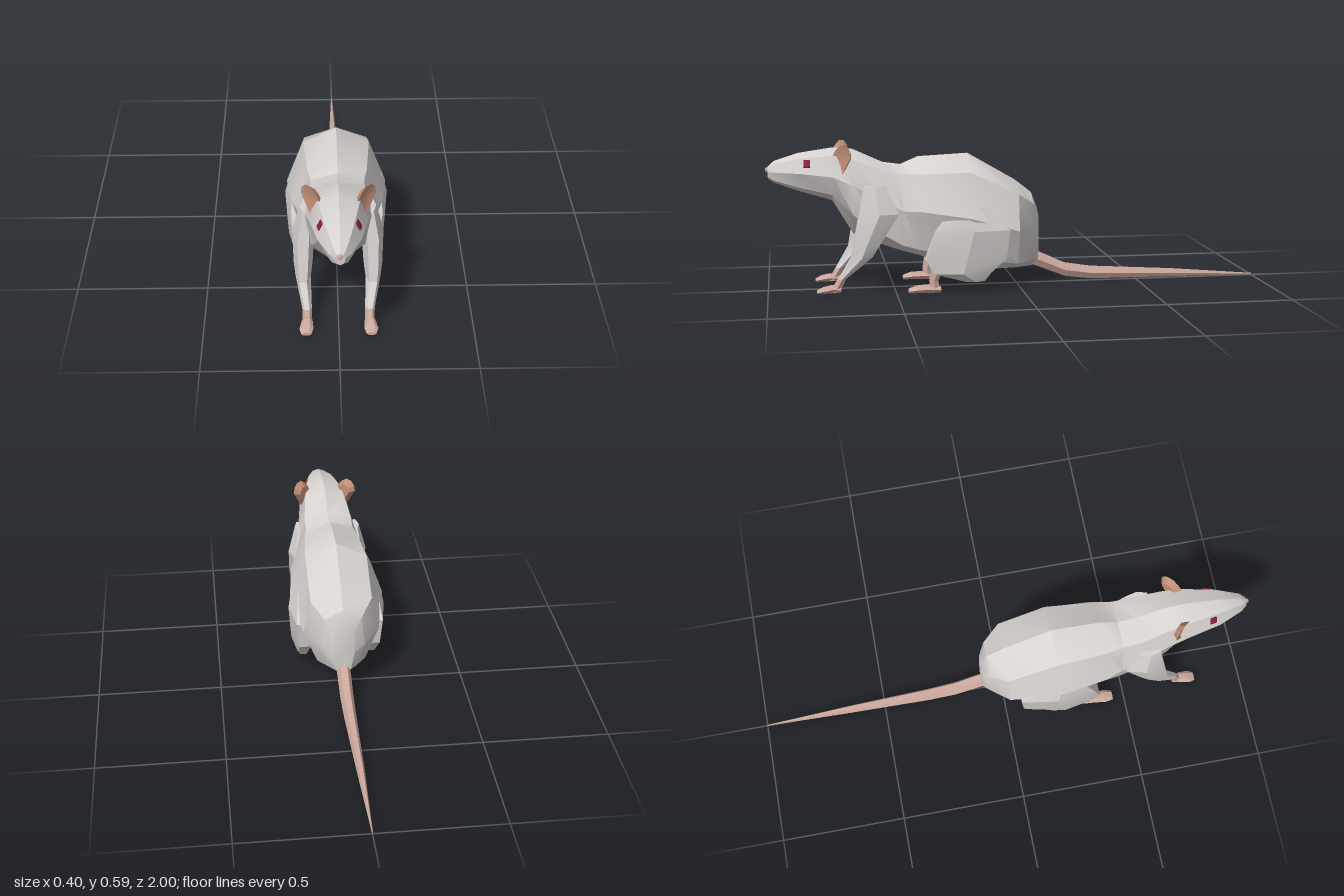
import * as THREE from 'three';
import { toCreasedNormals } from 'three/addons/utils/BufferGeometryUtils.js';

const mat = (name, color) => {
  const m = new THREE.MeshStandardMaterial({ color });
  m.name = name;
  return m;
};

// Skin a list of equal-length rings of [x, y, z] and close both ends
function loft(rings, crease = 0.45) {
  const pos = [];
  const n = rings[0].length;
  const tri = (...pts) => pts.forEach((p) => pos.push(...p));
  const centre = (r) => [0, 1, 2].map((k) => r.reduce((s, p) => s + p[k], 0) / n);
  const first = rings[0], last = rings[rings.length - 1];
  const c0 = centre(first), c1 = centre(last);
  for (let j = 0; j < n; j++) {
    const k = (j + 1) % n;
    for (let i = 0; i < rings.length - 1; i++) {
      const a = rings[i], b = rings[i + 1];
      tri(a[j], a[k], b[k]);
      tri(a[j], b[k], b[j]);
    }
    tri(c0, first[k], first[j]);
    tri(c1, last[j], last[k]);
  }
  const g = new THREE.BufferGeometry();
  g.setAttribute('position', new THREE.Float32BufferAttribute(pos, 3));
  return toCreasedNormals(g, crease);
}

const SIDES = 6;
const around = (fn, offset = 0) =>
  Array.from({ length: SIDES }, (_, i) => fn(((i + offset) / SIDES) * Math.PI * 2));

// Horizontal ring, for limbs running downwards
const ringY = ([x, y, z, rx, rz]) =>
  around((t) => [x - Math.sin(t) * rx, y, z + Math.cos(t) * rz], 0.5);
// Upright ring, for parts running along z (dir 1 = forwards, -1 = backwards)
const ringZ = ([x, y, z, rx, ry], dir) =>
  around((t) => [x - dir * Math.sin(t) * rx, y + Math.cos(t) * ry, z], 0.5);
const mirror = (rings) => rings.map((r) => r.map(([x, y, z]) => [-x, y, z]).reverse());

export function createModel() {
  const root = new THREE.Group();
  root.name = 'rat';
  const fur = mat('palegreyFur', 0xd6d2d0);
  const skin = mat('pinkSkin', 0xcda99e);
  const earSkin = mat('earSkin', 0xc18e77);
  const eyeRed = mat('redEye', 0x8c2038);

  const add = (name, geo, material) => {
    const m = new THREE.Mesh(geo, material);
    m.name = name;
    root.add(m);
    return m;
  };
  const pair = (name, rings, material, crease) => {
    add(name + 'Left', loft(rings, crease), material);
    add(name + 'Right', loft(mirror(rings), crease), material);
  };

  // Head and body: z, top y, upper edge x y, widest x y, lower edge x y, bottom y
  const sections = [
    [0.99, 0.5, 0.012, 0.495, 0.018, 0.48, 0.013, 0.46, 0.452],
    [0.965, 0.522, 0.025, 0.513, 0.038, 0.48, 0.028, 0.447, 0.435],
    [0.87, 0.552, 0.05, 0.535, 0.078, 0.478, 0.052, 0.42, 0.4],
    [0.74, 0.571, 0.074, 0.545, 0.104, 0.465, 0.065, 0.39, 0.36],
    [0.66, 0.565, 0.085, 0.53, 0.115, 0.43, 0.095, 0.31, 0.225],
    [0.54, 0.51, 0.1, 0.485, 0.14, 0.37, 0.115, 0.23, 0.175],
    [0.47, 0.5, 0.1, 0.472, 0.145, 0.33, 0.12, 0.19, 0.15],
    [0.4, 0.53, 0.112, 0.47, 0.172, 0.33, 0.12, 0.17, 0.13],
    [0.2, 0.54, 0.127, 0.475, 0.194, 0.3, 0.14, 0.13, 0.06],
    [0.01, 0.43, 0.125, 0.385, 0.155, 0.24, 0.1, 0.1, 0.065],
    [-0.06, 0.375, 0.075, 0.335, 0.09, 0.21, 0.05, 0.105, 0.072],
    [-0.085, 0.31, 0.04, 0.28, 0.045, 0.19, 0.03, 0.11, 0.08],
  ];
  const bodyRings = sections.map(([z, t, ux, uy, wx, wy, lx, ly, b]) => [
    [0, t, z], [ux, uy, z], [wx, wy, z], [lx, ly, z],
    [0, b, z], [-lx, ly, z], [-wx, wy, z], [-ux, uy, z],
  ]);
  add('body', loft(bodyRings, 0.5), fur);

  // Nose tip
  add('nose', loft([
    [0, 0.487, 0.985, 0.013, 0.014], [0, 0.487, 1, 0.007, 0.008],
  ].map((r) => ringZ(r, 1))), skin);

  // Tail
  add('tail', loft([
    [0, 0.11, -0.06, 0.028, 0.034],
    [0, 0.095, -0.1, 0.028, 0.034],
    [0, 0.052, -0.2, 0.027, 0.03],
    [0, 0.036, -0.31, 0.025, 0.028],
    [0, 0.024, -0.65, 0.016, 0.018],
    [0, 0.007, -1, 0.002, 0.003],
  ].map((r) => ringZ(r, -1))), skin);

  // Front legs and paws
  pair('frontLeg', [
    [0.12, 0.43, 0.58, 0.02, 0.05],
    [0.128, 0.32, 0.565, 0.042, 0.09],
    [0.13, 0.2, 0.615, 0.035, 0.06],
    [0.13, 0.15, 0.635, 0.028, 0.047],
    [0.117, 0.065, 0.712, 0.018, 0.018],
  ].map(ringY), fur, 0.3);
  pair('frontAnkle', [
    [0.117, 0.066, 0.711, 0.018, 0.018],
    [0.116, 0.012, 0.742, 0.017, 0.022],
  ].map(ringY), skin, 0.3);
  pair('frontPaw', [
    [0.116, 0.022, 0.715, 0.016, 0.013],
    [0.117, 0.025, 0.75, 0.022, 0.017],
    [0.12, 0.021, 0.785, 0.026, 0.013],
    [0.12, 0.015, 0.81, 0.018, 0.007],
  ].map((r) => ringZ(r, 1)), skin, 0.3);

  // Hind legs and feet
  pair('thigh', [
    [0.15, 0.34, 0.22, 0.03, 0.08],
    [0.155, 0.25, 0.2, 0.046, 0.17],
    [0.143, 0.135, 0.225, 0.05, 0.185],
    [0.145, 0.08, 0.24, 0.043, 0.13],
    [0.145, 0.045, 0.19, 0.025, 0.045],
  ].map(ringY), fur, 0.3);
  pair('hindAnkle', [
    [0.14, 0.11, 0.335, 0.02, 0.03],
    [0.137, 0.05, 0.353, 0.017, 0.02],
    [0.137, 0.01, 0.348, 0.017, 0.022],
  ].map(ringY), skin, 0.3);
  pair('hindFoot', [
    [0.137, 0.014, 0.325, 0.018, 0.013],
    [0.137, 0.018, 0.37, 0.022, 0.018],
    [0.138, 0.017, 0.42, 0.027, 0.015],
    [0.138, 0.012, 0.452, 0.02, 0.009],
  ].map((r) => ringZ(r, 1)), skin, 0.3);

  // Ears: dished outline facing forwards and outwards, with a bulging back
  const outline = [
    [0.098, 0.465], [0.134, 0.545], [0.131, 0.57], [0.118, 0.588],
    [0.1, 0.59], [0.082, 0.573], [0.064, 0.542], [0.072, 0.505],
  ];
  const earRing = (scale, depth) => outline.map(([x, y]) => {
    const ex = 0.1 + (x - 0.1) * scale;
    return [ex + depth, 0.53 + (y - 0.53) * scale, 0.705 - (ex - 0.1) + depth];
  }).reverse();
  pair('ear', [earRing(0.55, -0.004), earRing(1, 0), earRing(0.65, -0.016)], earSkin, 0.4);

  // Eyes: thin plates lying on the cheek slope
  for (const s of [1, -1]) {
    const eye = add(s > 0 ? 'eyeLeft' : 'eyeRight', new THREE.BoxGeometry(0.009, 0.03, 0.026), eyeRed);
    eye.position.set(s * 0.067, 0.515, 0.838);
    eye.quaternion.setFromUnitVectors(
      new THREE.Vector3(s, 0, 0),
      new THREE.Vector3(s * 0.9, 0.43, 0.18).normalize(),
    );
  }
  return root;
}
